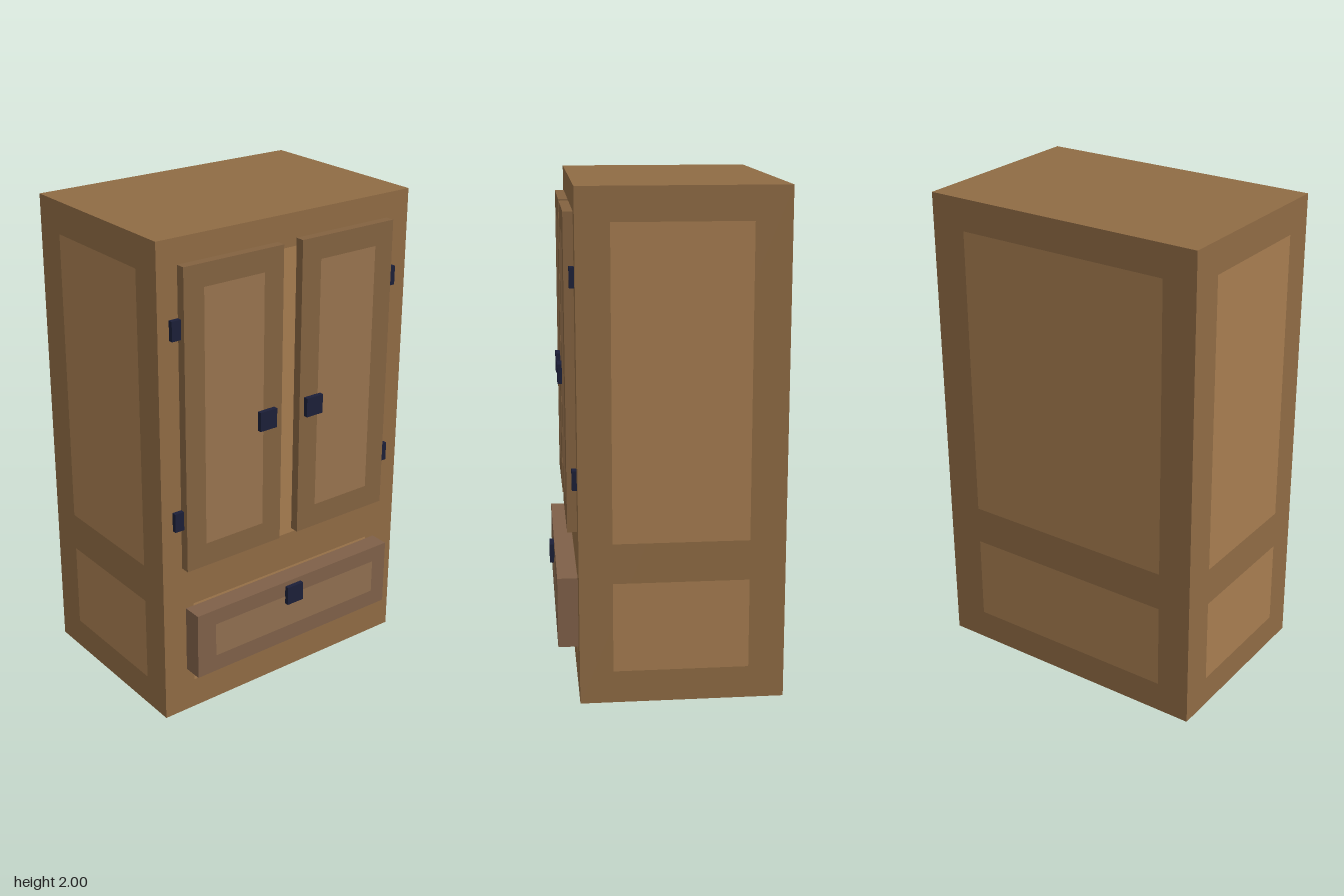
import * as THREE from 'three';

const paint = (color) => new THREE.MeshStandardMaterial({ color });
const wood = paint(0x8f6b44);
const woodInlay = paint(0xa67c50);
const doorWood = paint(0x836240);
const doorInlay = paint(0x98734e);
const drawerWood = paint(0x7f6048);
const drawerInlay = paint(0x8f6e50);
const iron = paint(0x1b1f38);

const LIFT = 0.001; // keeps the painted inlays just clear of the wood

export function createModel() {
  const model = new THREE.Group();
  model.name = 'wardrobe';

  // Box given by its extents on each axis
  function block(name, material, [x0, x1], [y0, y1], [z0, z1]) {
    const mesh = new THREE.Mesh(new THREE.BoxGeometry(x1 - x0, y1 - y0, z1 - z0), material);
    mesh.position.set((x0 + x1) / 2, (y0 + y1) / 2, (z0 + z1) / 2);
    mesh.name = name;
    model.add(mesh);
  }

  // Flat rectangle turned about y to face outward
  function inlay(name, material, width, [y0, y1], x, z, turn) {
    const mesh = new THREE.Mesh(new THREE.PlaneGeometry(width, y1 - y0), material);
    mesh.position.set(x, (y0 + y1) / 2, z);
    mesh.rotation.y = turn;
    mesh.name = name;
    model.add(mesh);
  }

  // Cabinet with an upper and a lower inlay on all four sides
  block('cabinet', wood, [-0.45, 0.35], [0, 2], [-0.6, 0.6]);
  for (const [label, span] of [['upper', [0.65, 1.87]], ['lower', [0.13, 0.49]]]) {
    for (const s of [1, -1]) {
      inlay(label + 'SideInlay', woodInlay, 0.53, span, -0.045, s * (0.6 + LIFT), s > 0 ? 0 : Math.PI);
      inlay(label + 'EndInlay', woodInlay, 0.91, span, -0.05 + s * (0.4 + LIFT), 0.005, s * Math.PI / 2);
    }
  }

  // Pair of doors on the +x side, each with an inlay, a knob and two hinges
  for (const s of [1, -1]) {
    const side = s > 0 ? 'left' : 'right';
    const c = 0.01; // doors sit slightly off centre
    const range = (near, far) => [c + s * near, c + s * far].sort((a, b) => a - b);
    block(side + 'Door', doorWood, [0.35, 0.388], [0.667, 1.9], range(0.045, 0.5));
    inlay(side + 'DoorInlay', doorInlay, 0.275, [0.765, 1.81], 0.388 + LIFT, c + s * 0.273, Math.PI / 2);
    block(side + 'DoorKnob', iron, [0.388, 0.407], [1.178, 1.258], range(0.075, 0.155).map((z) => z + 0.007));
    for (const y of [0.845, 1.622]) {
      block(side + 'Hinge', iron, [0.35, 0.369], [y, y + 0.078], range(0.5, 0.54));
    }
  }

  // Drawer front with its inlay and knob
  block('drawer', drawerWood, [0.35, 0.43], [0.195, 0.48], [-0.495, 0.495]);
  inlay('drawerInlay', drawerInlay, 0.83, [0.267, 0.413], 0.43 + LIFT, -0.008, Math.PI / 2);
  block('drawerKnob', iron, [0.43, 0.448], [0.38, 0.46], [-0.025, 0.055]);

  return model;
}
